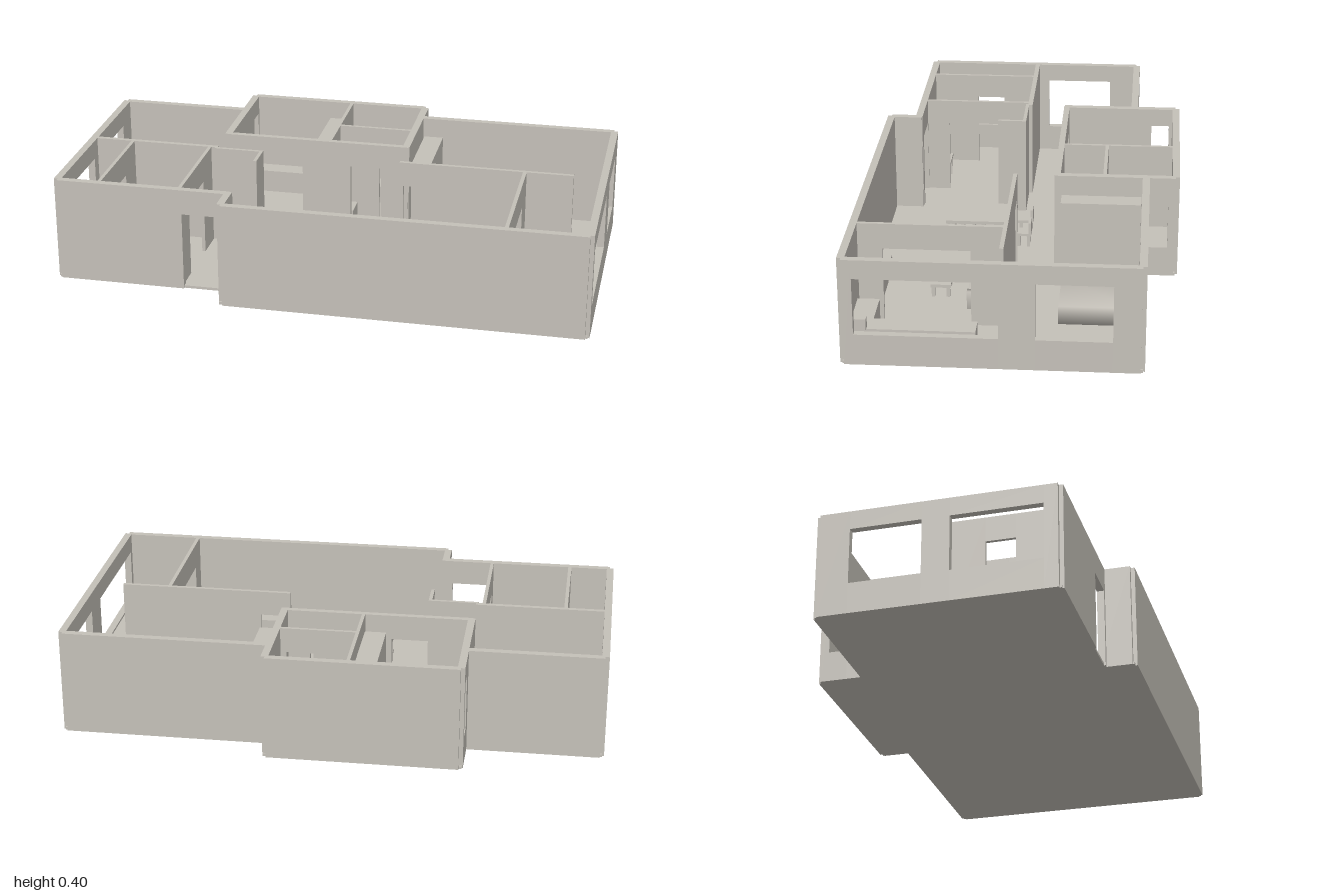
import * as THREE from 'three';
import { mergeVertices } from 'three/addons/utils/BufferGeometryUtils.js';

const H = 0.395;      // wall height
const FLOOR = 0.01;   // slab thickness
const T = 0.027;      // outer wall thickness
const t = 0.013;      // partition thickness

export function createModel() {
  const model = new THREE.Group();
  const stone = new THREE.MeshStandardMaterial({ color: 0xc4c0b8 });
  stone.name = 'warm grey';

  // Box given by its limits on each axis
  function box(parent, name, x0, x1, y0, y1, z0, z1, soft = false) {
    let geo = new THREE.BoxGeometry(x1 - x0, y1 - y0, z1 - z0);
    if (soft) { // shared corner normals for upholstery
      geo.deleteAttribute('normal');
      geo.deleteAttribute('uv');
      geo = mergeVertices(geo);
      geo.computeVertexNormals();
    }
    const mesh = new THREE.Mesh(geo, stone);
    mesh.name = name;
    mesh.position.set((x0 + x1) / 2, (y0 + y1) / 2, (z0 + z1) / 2);
    parent.add(mesh);
  }

  function group(name) {
    const g = new THREE.Group();
    g.name = name;
    model.add(g);
    return g;
  }

  // Wall along x or z, split into piers, sills and lintels around openings [from, to, bottom, top]
  function wall(name, axis, from, to, at, thick, openings = []) {
    const g = group(name);
    const piece = (part, a, b, y0, y1) => {
      if (b - a < 1e-4 || y1 - y0 < 1e-4) return;
      if (axis === 'x') box(g, part, a, b, y0, y1, at, at + thick);
      else box(g, part, at, at + thick, y0, y1, a, b);
    };
    let start = from;
    for (const [a, b, y0, y1] of openings) {
      piece('pier', start, a, 0, H);
      piece('sill', a, b, 0, y0);
      piece('lintel', a, b, y1, H);
      start = b;
    }
    piece('pier', start, to, 0, H);
  }
  const win = (a, b) => [a, b, 0.115, 0.325];
  const door = (a, b) => [a, b, 0, 0.3];

  // Floor slab following the stepped plan
  const plan = [[-1, -0.415], [-0.5, -0.415], [-0.5, -0.58], [0.23, -0.58], [0.23, -0.47], [1, -0.47],
    [1, 0.575], [-0.35, 0.575], [-0.35, 0.465], [-1, 0.465]];
  const floorShape = new THREE.Shape(plan.map(([x, z]) => new THREE.Vector2(x * 0.993, -z * 0.985)));
  const floor = new THREE.Mesh(
    new THREE.ExtrudeGeometry(floorShape, { depth: FLOOR, bevelEnabled: false }).rotateX(-Math.PI / 2), stone);
  floor.name = 'floor';
  model.add(floor);

  // Outer walls, stopping short of each corner to leave a small notch
  const n = 0.015;
  wall('frontWall', 'x', -0.35 + n, 1 - n, 0.575 - T, T);
  wall('entranceWall', 'x', -1 + n, -0.335, 0.465 - T, T, [door(-0.51, -0.365)]);
  wall('entranceStepWall', 'z', 0.44, 0.575 - n, -0.35, T);
  wall('eastWall', 'z', -0.47 + n, 0.575 - n, 1 - T, T, [win(-0.36, -0.095), win(0.03, 0.525)]);
  wall('westWall', 'z', -0.415 + n, 0.465 - n, -1, T, [win(-0.29, -0.03), win(0.07, 0.4)]);
  wall('backWallWest', 'x', -1 + n, -0.5, -0.415, T);
  wall('backWallMiddle', 'x', -0.5 + n, 0.23 - n, -0.58, T);
  wall('backWallEast', 'x', 0.21, 1 - n, -0.47, T);
  wall('middleBlockWest', 'z', -0.58 + n, -0.12, -0.5, T, [win(-0.54, -0.47)]);
  wall('middleBlockEast', 'z', -0.58 + n, -0.12, 0.23 - T, T, [win(-0.54, -0.47)]);

  // Partitions of the middle block
  wall('middleBlockFront', 'x', -0.49, 0.225, -0.14, 0.022, [door(-0.435, -0.19), door(0, 0.12)]);
  wall('bathSideWall', 'z', -0.56, -0.13, -0.09, t);
  wall('bathDivider', 'x', -0.08, 0.21, -0.31, t, [door(0.08, 0.18)]);

  // Partitions of the west rooms
  wall('westBedroomWall', 'x', -0.98, -0.49, 0.01, 0.018);
  wall('hallWall', 'x', -0.5, -0.31, 0.024, t);
  wall('hallReturn', 'z', 0.03, 0.135, -0.323, t);
  wall('storeWall', 'z', 0.02, 0.45, -0.835, t, [door(0.15, 0.26)]);
  wall('studyWall', 'z', 0.02, 0.45, -0.528, t, [door(0.15, 0.35)]);

  // Partitions of the living room and kitchen
  wall('livingPartition', 'x', 0.22, 0.875, 0.02, 0.015, [door(0.235, 0.335)]);
  wall('kitchenWall', 'z', 0.03, 0.55, 0.686, 0.014, [door(0.15, 0.46)]);

  // Beds with pillow
  for (const [name, x, z] of [['westBed', -0.83, -0.39], ['eastBed', 0.445, -0.435]]) {
    const bed = group(name);
    box(bed, 'mattress', x, x + 0.227, FLOOR, 0.08, z, z + 0.278, true);
    box(bed, 'pillow', x + 0.02, x + 0.207, 0.075, 0.1, z + 0.018, z + 0.075, true);
  }

  // Sofa
  const sofa = group('sofa');
  box(sofa, 'base', 0.32, 0.56, FLOOR, 0.045, 0.06, 0.178, true);
  box(sofa, 'backrest', 0.315, 0.562, FLOOR, 0.11, 0.058, 0.098, true);
  for (const x of [0.3, 0.553]) box(sofa, 'armrest', x, x + 0.024, FLOOR, 0.08, 0.065, 0.178, true);
  for (const x of [0.326, 0.44]) box(sofa, 'cushion', x, x + 0.112, 0.045, 0.062, 0.098, 0.178, true);

  // Tables: a top on four legs
  function table(name, x0, x1, z0, z1, h, thick = 0.012) {
    const g = group(name), w = 0.012;
    box(g, 'top', x0, x1, h - thick, h, z0, z1);
    for (const x of [x0 + 0.004, x1 - w - 0.004])
      for (const z of [z0 + 0.004, z1 - w - 0.004]) box(g, 'leg', x, x + w, FLOOR, h - thick, z, z + w);
  }
  table('diningTable', -0.145, 0.03, 0.045, 0.31, 0.11);
  table('coffeeTable', 0.365, 0.487, 0.245, 0.32, 0.06);
  table('desk', -0.68, -0.573, 0.355, 0.425, 0.1);

  // Dining chairs at the table end and tucked under its sides
  for (const x of [-0.145, -0.022]) {
    table('chairSeat', x, x + 0.056, -0.018, 0.04, 0.065, 0.01);
    box(model, 'chairBack', x, x + 0.056, 0.065, 0.11, -0.018, -0.008);
  }
  for (const z of [0.17, 0.25]) {
    table('chairSeat', -0.149, -0.095, z, z + 0.055, 0.065, 0.01);
    table('chairSeat', -0.02, 0.034, z, z + 0.055, 0.065, 0.01);
  }

  // Storage, bathroom fittings and kitchen units
  const units = [
    ['mediaUnit', 0.26, 0.585, 0.07, 0.49, 0.548],
    ['wardrobe', 0.235, 0.31, 0.32, -0.44, -0.145],
    ['closet', -0.17, -0.09, 0.33, -0.54, -0.15],
    ['sideboard', -0.465, -0.17, 0.1, -0.555, -0.48],
    ['bathtub', -0.035, 0.2, 0.08, -0.54, -0.455],
    ['washstand', -0.065, 0, 0.09, -0.26, -0.17],
    ['kitchenCounterSide', 0.885, 0.965, 0.12, 0.11, 0.47],
    ['kitchenCounterFront', 0.735, 0.965, 0.12, 0.47, 0.548],
    ['kitchenPost', 0.945, 0.973, 0.16, 0.485, 0.548],
  ];
  for (const [name, x0, x1, h, z0, z1] of units) box(model, name, x0, x1, FLOOR, h, z0, z1);

  return model;
}
